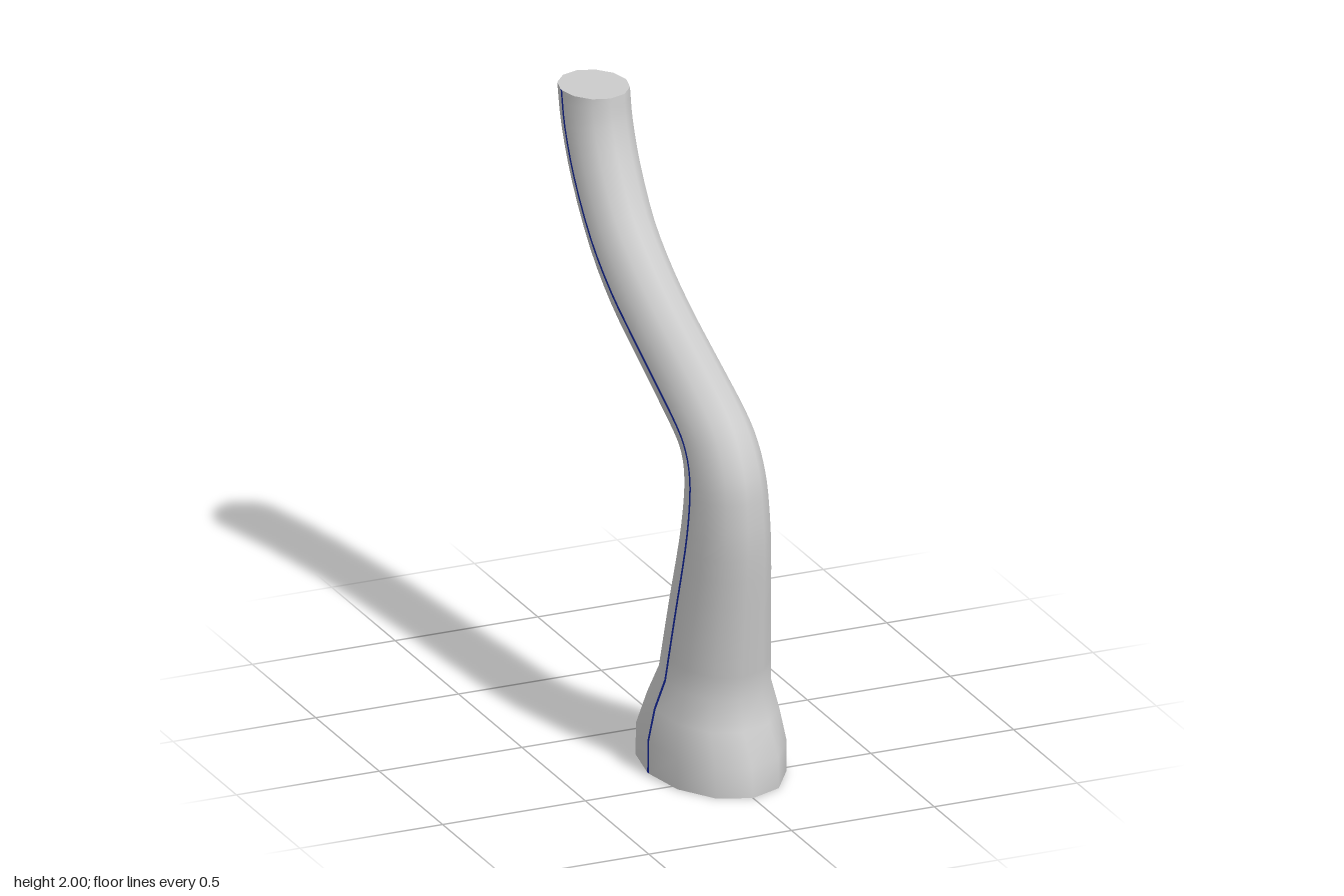
import * as THREE from 'three';

// Cross-sections from foot to tip: front z, front y, back z, back y, half width
const SECTIONS = [
  [0.697, 0, 0.03, 0, 0.22],
  [0.69, 0.10, 0.048, 0.12, 0.222],
  [0.625, 0.20, 0.14, 0.25, 0.205],
  [0.60, 0.30, 0.195, 0.35, 0.175],
  [0.63, 0.55, 0.24, 0.57, 0.157],
  [0.657, 0.80, 0.295, 0.79, 0.14],
  [0.655, 0.95, 0.318, 0.93, 0.13],
  [0.635, 1.07, 0.313, 1.01, 0.123],
  [0.57, 1.18, 0.29, 1.055, 0.118],
  [0.46, 1.265, 0.24, 1.09, 0.115],
  [0.22, 1.38, 0.10, 1.16, 0.112],
  [0.05, 1.46, -0.05, 1.235, 0.11],
  [-0.11, 1.55, -0.24, 1.335, 0.11],
  [-0.255, 1.66, -0.41, 1.47, 0.11],
  [-0.36, 1.80, -0.56, 1.66, 0.112],
  [-0.41, 1.91, -0.655, 1.85, 0.113],
  [-0.427, 2, -0.693, 2, 0.113],
];
const FLARE = 3;          // the foot below this section keeps straight facets
const STRIPE_HALF = 0.006;
const COLS = 14;          // twelve sides, with the two side corners split for the stripes
const STRIPE_COLS = [3, 10];

// Round off the neck by interpolating the sections above the flare
function smoothSections() {
  const neck = SECTIONS.slice(FLARE);
  const curve = (f) => new THREE.CatmullRomCurve3(neck.map(f), false, 'catmullrom', 0.5);
  const front = curve((s) => new THREE.Vector3(s[4], s[1], s[0]));
  const back = curve((s) => new THREE.Vector3(s[4], s[3], s[2]));
  const rows = SECTIONS.slice(0, FLARE);
  const steps = (neck.length - 1) * 3;
  for (let i = 0; i <= steps; i++) {
    const f = front.getPoint(i / steps), b = back.getPoint(i / steps);
    rows.push([f.z, f.y, b.z, b.y, f.x]);
  }
  return rows;
}

// One closed loop of corners, starting at the front and turning towards +x
function ring([fz, fy, bz, by, w]) {
  const half = Math.hypot(fz - bz, fy - by) / 2;
  const d = STRIPE_HALF / half, q = Math.PI / 6;
  const angles = [0, q, 2 * q, 3 * q - d, 3 * q + d, 4 * q, 5 * q,
    6 * q, 7 * q, 8 * q, 9 * q - d, 9 * q + d, 10 * q, 11 * q];
  return angles.map((a) => new THREE.Vector3(
    w * Math.sin(a),
    (fy + by) / 2 + (fy - by) / 2 * Math.cos(a),
    (fz + bz) / 2 + (fz - bz) / 2 * Math.cos(a)));
}

export function createModel() {
  const group = new THREE.Group();
  group.name = 'curvedNeck';
  const grey = new THREE.MeshStandardMaterial({ color: 0xcccccc, side: THREE.DoubleSide });
  const blue = new THREE.MeshStandardMaterial({ color: 0x1428a0, side: THREE.DoubleSide });
  const rings = smoothSections().map(ring);

  // Quads of the chosen columns
  const indexFor = (columns) => {
    const index = [];
    for (let r = 0; r < rings.length - 1; r++) {
      for (const c of columns) {
        const a = r * COLS + c, b = r * COLS + (c + 1) % COLS;
        index.push(a, b, b + COLS, a, b + COLS, a + COLS);
      }
    }
    return index;
  };

  // Whole skin, so that tube and stripes share smooth normals
  const allCols = [...Array(COLS).keys()];
  const skin = new THREE.BufferGeometry().setFromPoints(rings.flat());
  skin.setIndex(indexFor(allCols));
  skin.computeVertexNormals();

  const add = (name, geometry, material) => {
    const mesh = new THREE.Mesh(geometry, material);
    mesh.name = name;
    group.add(mesh);
  };
  const part = (columns) => skin.clone().setIndex(indexFor(columns));

  // Tube, open at the foot
  add('tube', part(allCols.filter((c) => !STRIPE_COLS.includes(c))), grey);

  // Thin side stripes
  add('leftStripe', part([STRIPE_COLS[0]]), blue);
  add('rightStripe', part([STRIPE_COLS[1]]), blue);

  // Flat cap closing the tip
  const cap = new THREE.BufferGeometry().setFromPoints(rings[rings.length - 1]);
  const fan = [];
  for (let i = 1; i < COLS - 1; i++) fan.push(0, i, i + 1);
  cap.setIndex(fan);
  cap.computeVertexNormals();
  add('tipCap', cap, grey);

  return group;
}
